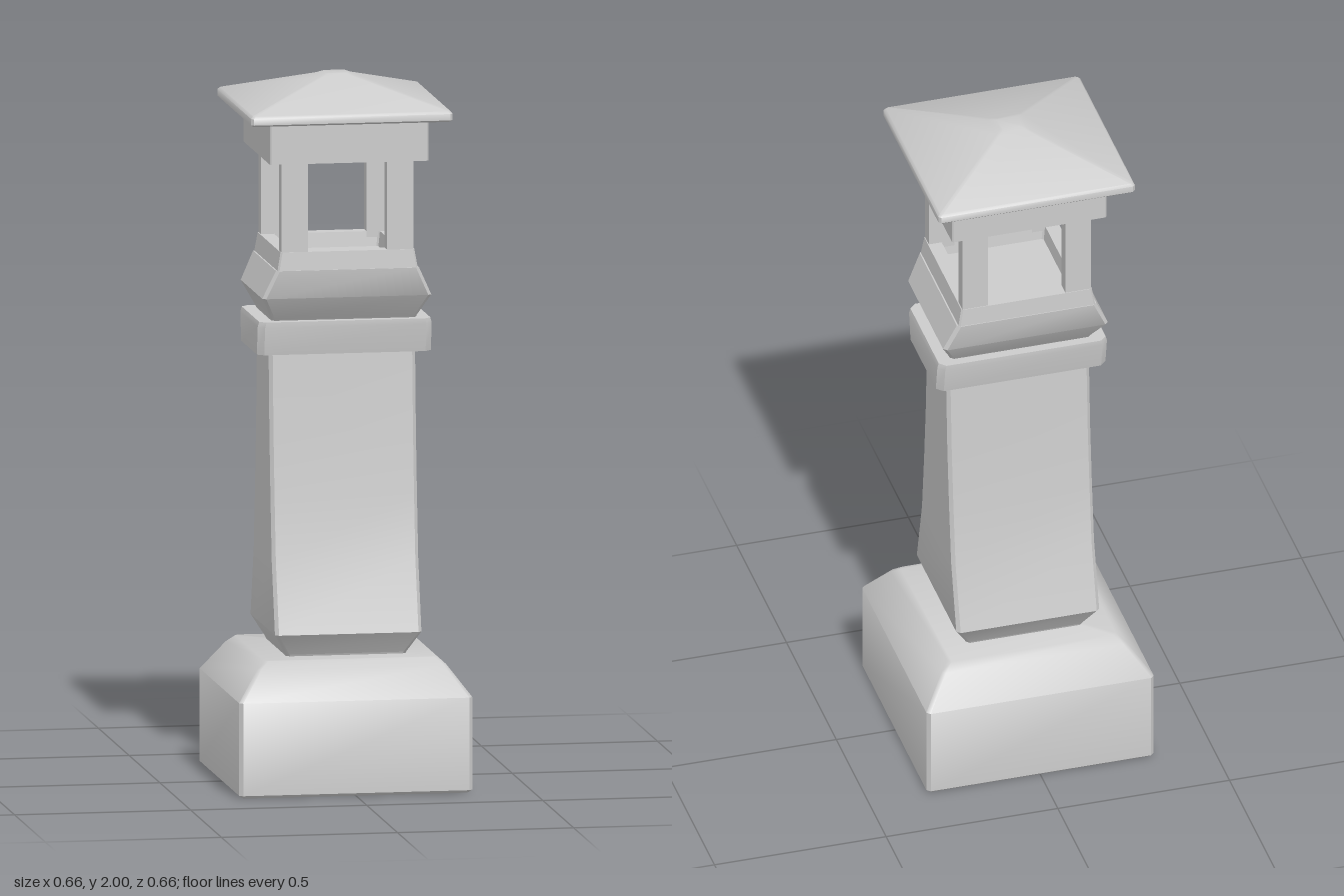
import * as THREE from 'three';
import { toCreasedNormals } from 'three/addons/utils/BufferGeometryUtils.js';

const material = new THREE.MeshStandardMaterial({ color: 0xcccccc });

// Stack of rectangular sections [y, halfX, halfZ] with cut corners, closed at both ends.
function loft(name, sections, cut = 0.01) {
  const rings = sections.map(([y, x, z]) => [
    [x, z - cut], [x, cut - z], [x - cut, -z], [cut - x, -z],
    [-x, cut - z], [-x, z - cut], [cut - x, z], [x - cut, z],
  ].map(([px, pz]) => [px, y, pz]));
  const pos = [];
  const tri = (a, b, c) => pos.push(...a, ...b, ...c);
  for (let r = 0; r < rings.length - 1; r++) {
    const lo = rings[r], hi = rings[r + 1];
    for (let i = 0; i < 8; i++) {
      const j = (i + 1) % 8;
      tri(lo[i], lo[j], hi[j]);
      tri(lo[i], hi[j], hi[i]);
    }
  }
  const first = rings[0], last = rings[rings.length - 1];
  for (let i = 1; i < 7; i++) {
    tri(first[0], first[i + 1], first[i]);
    tri(last[0], last[i], last[i + 1]);
  }
  const geometry = new THREE.BufferGeometry();
  geometry.setAttribute('position', new THREE.Float32BufferAttribute(pos, 3));
  const mesh = new THREE.Mesh(toCreasedNormals(geometry, 0.72), material);
  mesh.name = name;
  return mesh;
}

export function createModel() {
  const group = new THREE.Group();
  group.name = 'chimney';

  // Plinth with sloped shoulders
  group.add(loft('base', [
    [0, 0.322, 0.322], [0.008, 0.331, 0.331], [0.27, 0.331, 0.331],
    [0.355, 0.268, 0.268], [0.375, 0.245, 0.245],
  ]));

  // Shaft: straight from the front, flared towards the bottom from the side
  group.add(loft('shaft', [
    [0.36, 0.165, 0.165], [0.38, 0.172, 0.172], [0.44, 0.208, 0.208],
    [0.64, 0.208, 0.156], [0.82, 0.208, 0.135], [1.0, 0.208, 0.118],
    [1.24, 0.208, 0.104],
  ]));

  // Band around the top of the shaft
  group.add(loft('band', [
    [1.225, 0.247, 0.145], [1.305, 0.247, 0.16], [1.32, 0.243, 0.16],
  ], 0.018));

  // Bulging neck
  group.add(loft('neck', [
    [1.31, 0.203, 0.128], [1.325, 0.207, 0.135], [1.39, 0.24, 0.185],
    [1.47, 0.203, 0.196],
  ]));

  // Open tray that carries the posts
  group.add(loft('tray', [
    [1.465, 0.2, 0.194], [1.522, 0.19, 0.19], [1.522, 0.15, 0.15],
    [1.48, 0.145, 0.145],
  ], 0.005));

  // Four corner posts
  const postGeometry = new THREE.BoxGeometry(0.075, 0.28, 0.04);
  for (const sx of [-1, 1]) {
    for (const sz of [-1, 1]) {
      const post = new THREE.Mesh(postGeometry, material);
      post.name = 'post';
      post.position.set(sx * 0.15, 1.645, sz * 0.168);
      group.add(post);
    }
  }

  // Collar under the roof
  group.add(loft('collar', [[1.775, 0.225, 0.216], [1.9, 0.225, 0.216]], 0.004));

  // Pyramid roof with a small flat top
  const roof = loft('roof', [
    [1.892, 0.28, 0.276], [1.897, 0.286, 0.282], [1.915, 0.286, 0.282],
    [1.922, 0.28, 0.276], [1.992, 0.05, 0.047], [2.0, 0.032, 0.03],
  ], 0.007);
  roof.position.set(-0.002, 0, -0.005);
  group.add(roof);

  return group;
}
